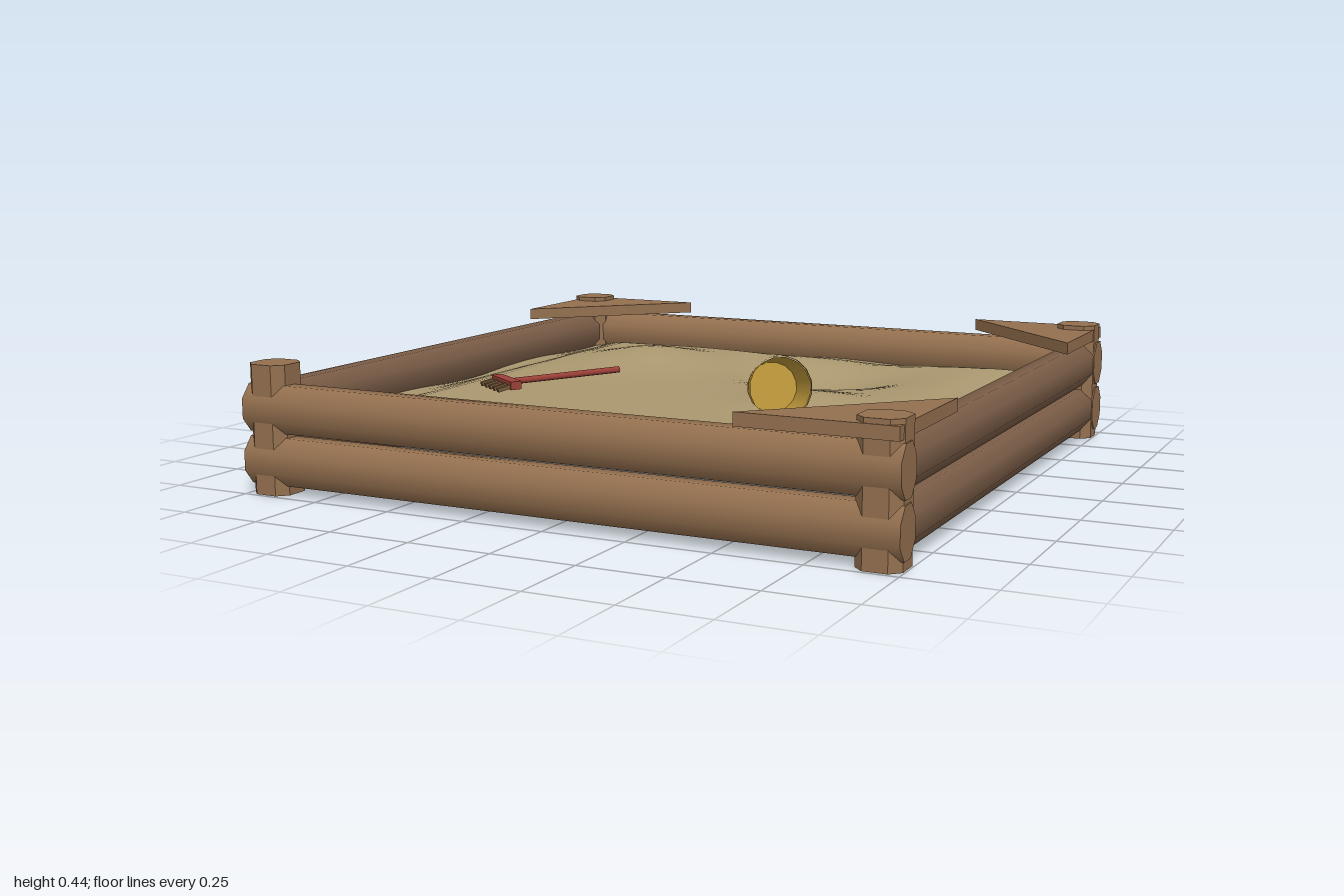
import * as THREE from 'three';

const UP = new THREE.Vector3(0, 1, 0);
const paint = (color, extra = {}) => new THREE.MeshStandardMaterial({ color, ...extra });

export function createModel() {
  const model = new THREE.Group();
  model.name = 'sandbox';
  const wood = paint(0x94704f);
  const darkWood = paint(0x7c5e48);
  const sandColor = paint(0xab9870, { side: THREE.DoubleSide });
  const yellow = paint(0xc09a3c, { side: THREE.DoubleSide });
  const red = paint(0x9c4038);
  const tineColor = paint(0x75583a);

  const add = (name, geometry, material, parent = model) => {
    const mesh = new THREE.Mesh(geometry, material);
    mesh.name = name;
    parent.add(mesh);
    return mesh;
  };

  // Prism standing on y = 0 from an outline of [x, z] corners
  const prism = (points, height) => {
    const shape = new THREE.Shape(points.map(([x, z]) => new THREE.Vector2(x, -z)));
    return new THREE.ExtrudeGeometry(shape, { depth: height, bevelEnabled: false }).rotateX(-Math.PI / 2);
  };

  // Eight-sided log lying along x, flat side up
  const flat = Math.cos(Math.PI / 8);
  const log = (length) => new THREE.CylinderGeometry(1, 1, length, 8)
    .rotateY(Math.PI / 8)
    .rotateZ(Math.PI / 2)
    .scale(1, 0.07 / flat, 0.055 / flat);

  // Two courses of logs on each side
  for (const y of [0.097, 0.25]) {
    for (const s of [-1, 1]) {
      add(s > 0 ? 'frontLog' : 'backLog', log(2), wood).position.set(0, y, s * 0.942);
      const side = add(s > 0 ? 'leftLog' : 'rightLog', log(1.78), darkWood);
      side.rotation.y = Math.PI / 2;
      side.position.set(s * 0.942, y, 0);
    }
  }

  // Chamfered corner posts, just inside the log faces
  const a = 0.0625, b = 0.034;
  const postOutline = [[a, b], [b, a], [-b, a], [-a, b], [-a, -b], [-b, -a], [b, -a], [a, -b]];
  for (const x of [-0.933, 0.933]) {
    for (const z of [-0.927, 0.927]) {
      add('cornerPost', prism(postOutline, 0.38), wood).position.set(x, 0, z);
    }
  }

  // Triangular seats on three of the corners
  for (const [sx, sz] of [[-1, -1], [1, -1], [1, 1]]) {
    const outline = [[sx * 0.993, sz * 0.993], [sx * 0.555, sz * 0.993], [sx * 0.993, sz * 0.555]];
    add('cornerSeat', prism(outline, 0.037), wood).position.y = 0.329;
  }

  // Sand surface: gentle hills and dips [x, z, height, radius], sinking at the wavy walls
  const mounds = [
    [0.22, -0.42, -0.078, 0.25], [-0.37, -0.32, 0.05, 0.22], [0.42, 0.2, 0.035, 0.17],
  ];
  const sandHeight = (x, z) => {
    const wall = 0.9 - Math.max(Math.abs(x), Math.abs(z));
    const rise = THREE.MathUtils.smoothstep(wall, 0, 0.25);
    const edge = 0.203 + 0.01 * Math.sin(9 * x + 1) * Math.cos(8 * z);
    let y = 0.248;
    for (const [mx, mz, h, r] of mounds) y += h * Math.exp(-((x - mx) ** 2 + (z - mz) ** 2) / (r * r));
    return THREE.MathUtils.lerp(edge, y, rise);
  };
  const sand = new THREE.PlaneGeometry(1.8, 1.8, 48, 48).rotateX(-Math.PI / 2);
  const p = sand.attributes.position;
  for (let i = 0; i < p.count; i++) p.setY(i, sandHeight(p.getX(i), p.getZ(i)));
  sand.computeVertexNormals();
  add('sand', sand, sandColor);

  // Bucket lying on its side, open end to the front left
  const bucketBase = new THREE.Vector3(0.42, 0.335, 0.45);
  const bucketAxis = new THREE.Vector3(0.5, 0.358, 0.573).sub(bucketBase);
  const length = bucketAxis.length();
  const bucket = new THREE.Group();
  bucket.name = 'bucket';
  bucket.position.copy(bucketBase);
  bucket.quaternion.setFromUnitVectors(UP, bucketAxis.normalize());
  model.add(bucket);
  add('bucketWall', new THREE.CylinderGeometry(0.084, 0.07, length, 16, 1, true), yellow, bucket)
    .position.y = length / 2;
  add('bucketBottom', new THREE.CircleGeometry(0.07, 16).rotateX(Math.PI / 2), yellow, bucket);
  add('bucketRim', new THREE.CylinderGeometry(0.088, 0.087, 0.012, 16, 1, true), yellow, bucket)
    .position.y = length - 0.006;

  // Rake: local +z runs from handle end to head
  const rake = new THREE.Group();
  rake.name = 'rake';
  rake.position.set(-0.27, 0.285, 0.085);
  rake.lookAt(-0.49, 0.275, 0.395);
  model.add(rake);
  const reach = 0.38;
  add('rakeHandle', new THREE.CylinderGeometry(0.01, 0.01, reach, 8).rotateX(Math.PI / 2), red, rake)
    .position.z = reach / 2;
  add('rakeHead', new THREE.BoxGeometry(0.155, 0.025, 0.034), red, rake).position.z = reach;
  for (let i = -2; i <= 2; i++) {
    const tine = add('rakeTine', new THREE.BoxGeometry(0.014, 0.012, 0.045), tineColor, rake);
    tine.position.set(i * 0.033, -0.006, reach + 0.034);
    tine.rotation.x = 0.2;
  }
  return model;
}
